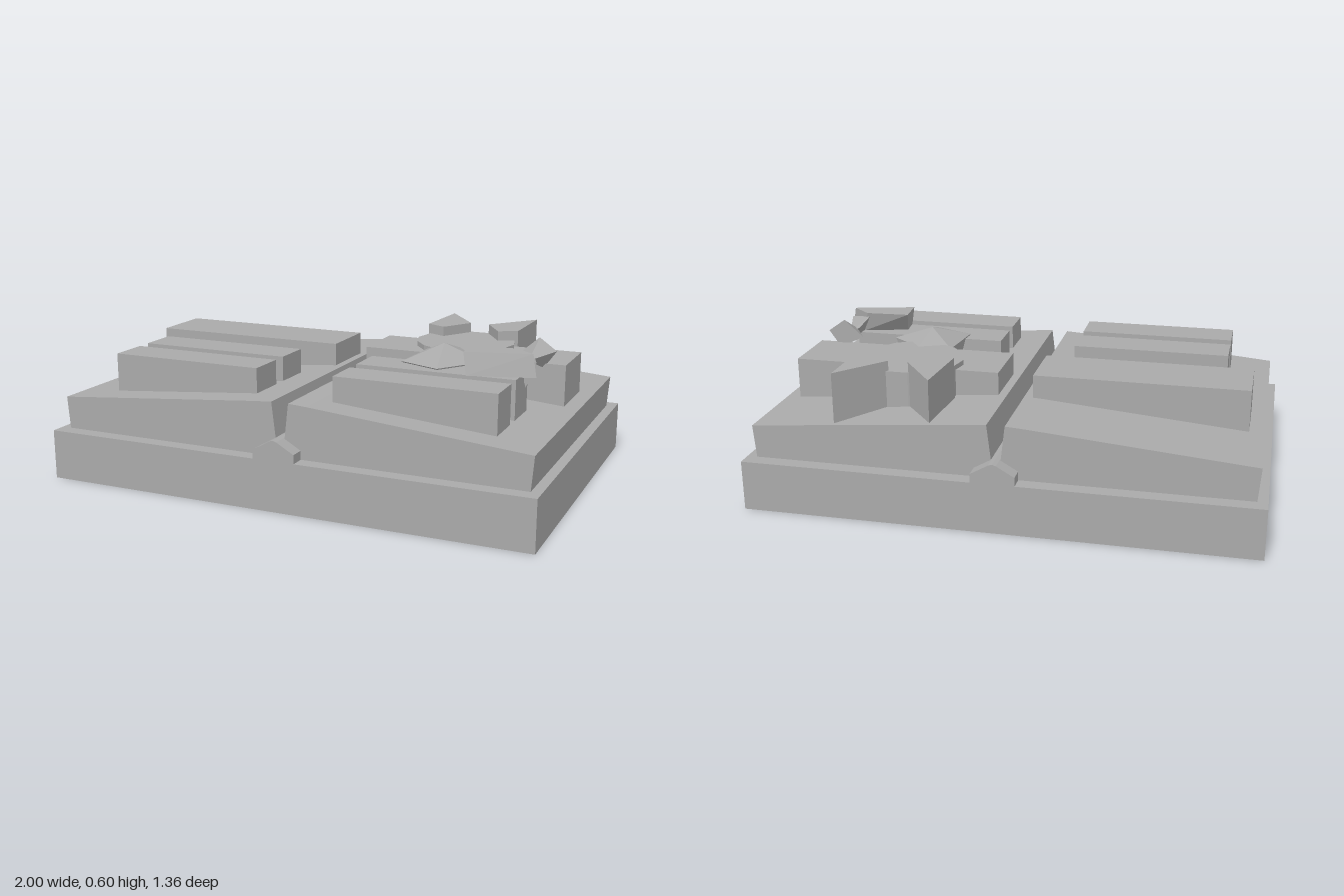
import * as THREE from 'three';
import { ConvexGeometry } from 'three/addons/geometries/ConvexGeometry.js';

export function createModel() {
  const model = new THREE.Group();
  model.name = 'openBook';
  const stone = new THREE.MeshStandardMaterial({ color: 0xaaaaaa });
  stone.name = 'plain grey';

  const add = (name, geometry, x = 0, y = 0, z = 0) => {
    const mesh = new THREE.Mesh(geometry, stone);
    mesh.name = name;
    mesh.position.set(x, y, z);
    model.add(mesh);
    return mesh;
  };
  // Prism running along z, centred on z = 0
  const alongZ = (points, depth) => {
    const shape = new THREE.Shape(points.map(([x, y]) => new THREE.Vector2(x, y)));
    return new THREE.ExtrudeGeometry(shape, { depth, bevelEnabled: false }).translate(0, 0, -depth / 2);
  };
  // Upright prism from a plan outline of [x, z] points
  const upright = (points, bottom, top) => {
    const shape = new THREE.Shape(points.map(([x, z]) => new THREE.Vector2(x, -z)));
    return new THREE.ExtrudeGeometry(shape, { depth: top - bottom, bevelEnabled: false })
      .rotateX(-Math.PI / 2).translate(0, bottom, 0);
  };
  const hull = (points) => new ConvexGeometry(points.map((p) => new THREE.Vector3(...p)));

  // Cover and spine
  add('cover', new THREE.BoxGeometry(2, 0.2, 1.36), 0, 0.1, 0);
  add('spine', alongZ([[-0.085, 0.2], [0.085, 0.2], [0.085, 0.235], [0.015, 0.275],
    [0, 0.28], [-0.015, 0.275], [-0.085, 0.235]], 1.36));

  // Sloping page blocks with raised bars, mirrored about the spine
  for (const [side, s] of [['left', 1], ['right', -1]]) {
    add(side + 'Pages', alongZ([[0.01, 0.2], [0.96, 0.2], [0.97, 0.33], [0.11, 0.405], [0.035, 0.41]]
      .map(([x, y]) => [s * x, y]), 1.24));
    const bars = [[0.07, 0.91, -0.29, -0.03], [0.16, 0.8, 0.12, 0.28], [0.16, 0.8, 0.34, 0.5]];
    for (const [x0, x1, z0, z1] of bars) {
      add(side + 'Bar', new THREE.BoxGeometry(x1 - x0, 0.2, z1 - z0),
        s * (x0 + x1) / 2, 0.4, (z0 + z1) / 2);
    }
  }

  // Animal figure: round head and pointed ears
  add('head', upright([[0.4, -0.42], [0.49, -0.42], [0.57, -0.38], [0.62, -0.32], [0.645, -0.23],
    [0.62, -0.13], [0.57, -0.06], [0.5, -0.02], [0.4, -0.02], [0.31, -0.07], [0.255, -0.14],
    [0.23, -0.22], [0.25, -0.32], [0.32, -0.39]], 0.34, 0.52));
  add('earRight', upright([[0.26, -0.6], [0.24, -0.32], [0.32, -0.28], [0.4, -0.41]], 0.34, 0.56));
  add('earLeft', upright([[0.64, -0.6], [0.48, -0.41], [0.56, -0.28], [0.635, -0.32]], 0.34, 0.56));

  // Body: flat disc carrying a faceted five-sided top
  add('bodyDisc', new THREE.CylinderGeometry(0.165, 0.165, 0.1, 16), 0.445, 0.37, 0.05);
  add('bodyTop', hull([[0.44, 0.565, 0.05], [0.46, 0.52, -0.09], [0.61, 0.505, 0.06],
    [0.48, 0.505, 0.25], [0.31, 0.505, 0.18], [0.33, 0.51, -0.06],
    [0.34, 0.42, 0.09], [0.43, 0.42, 0.13], [0.54, 0.42, 0.1], [0.54, 0.42, 0], [0.4, 0.42, -0.03]]));

  // Tilted tail: wedge, pointed middle and flared tip
  add('tailBase', hull([[0.61, 0.5, 0.29], [0.86, 0.5, 0.22], [0.84, 0.585, 0.2], [0.59, 0.585, 0.265],
    [0.58, 0.585, 0.14], [0.76, 0.585, 0.13], [0.6, 0.5, 0.2], [0.78, 0.5, 0.15]]));
  add('tailMiddle', hull([[0.75, 0.57, 0.13], [0.85, 0.55, 0.19], [0.81, 0.45, 0.18],
    [0.8, 0.53, 0.02], [0.77, 0.54, 0.05]]));
  add('tailTip', hull([[0.79, 0.53, 0.08], [0.72, 0.53, -0.04], [0.87, 0.55, -0.04],
    [0.8, 0.6, -0.04], [0.82, 0.48, -0.04]]));

  return model;
}
